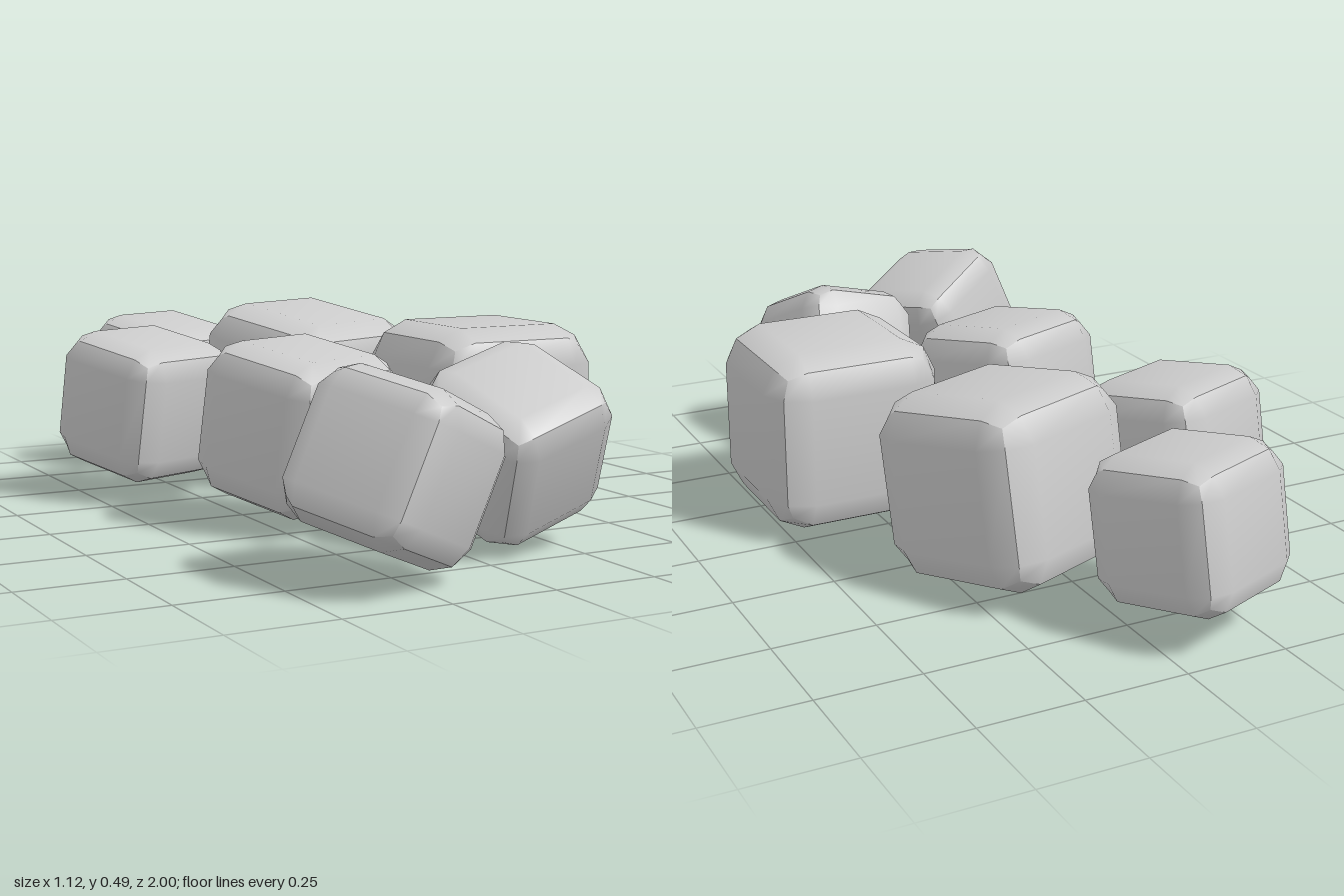
import * as THREE from 'three';

// Puffed cube of half size 1: each face is a 3x3 grid, creased along the cube edges
function puffedCube() {
  const geo = new THREE.BoxGeometry(2, 2, 2, 3, 3, 3);
  const pos = geo.attributes.position;
  const outerReach = [0, 1, 0.866, 0.78]; // face, edge and corner points
  const inner = 0.59;
  for (let i = 0; i < pos.count; i++) {
    const p = [pos.getX(i), pos.getY(i), pos.getZ(i)];
    const isOuter = (c) => Math.abs(c) > 0.9;
    const reach = outerReach[p.filter(isOuter).length];
    pos.setXYZ(i, ...p.map((c) => Math.sign(c) * (isOuter(c) ? reach : inner)));
  }
  geo.computeVertexNormals();
  return geo;
}

// Rotation from two roughly perpendicular axes
function basis(x, y) {
  const ax = new THREE.Vector3(...x).normalize();
  const az = ax.clone().cross(new THREE.Vector3(...y)).normalize();
  const ay = az.clone().cross(ax);
  return new THREE.Quaternion().setFromRotationMatrix(new THREE.Matrix4().makeBasis(ax, ay, az));
}

export function createModel() {
  const group = new THREE.Group();
  const geo = puffedCube();
  const material = new THREE.MeshStandardMaterial({ color: 0xcccccc });

  const straight = new THREE.Quaternion();
  const leaning = new THREE.Quaternion().setFromEuler(new THREE.Euler(0.16, 0.375, 0, 'YXZ'));
  const tumbledLeft = basis([0.95, 0.26, -0.17], [-0.15, 0.88, 0.45]);
  const tumbledRight = basis([0.815, -0.36, -0.454], [0.4, 0.92, 0]);

  // name, half size, centre, rotation
  const blocks = [
    ['largeStraightBlock', 0.228, [0.328, 0.249, 0.172], straight],
    ['largeLeaningBlock', 0.226, [0.114, 0.249, -0.373], leaning],
    ['middleRightBlock', 0.19, [-0.176, 0.25, 0.17], leaning],
    ['rearRightBlock', 0.176, [-0.357, 0.249, -0.371], leaning],
    ['rearmostBlock', 0.175, [-0.127, 0.249, -0.792], leaning],
    ['frontLeftBlock', 0.174, [0.136, 0.248, 0.616], tumbledLeft],
    ['frontRightBlock', 0.175, [-0.264, 0.25, 0.79], tumbledRight],
  ];
  for (const [name, half, centre, rotation] of blocks) {
    const block = new THREE.Mesh(geo, material);
    block.name = name;
    block.scale.setScalar(half);
    block.position.set(...centre);
    block.quaternion.copy(rotation);
    group.add(block);
  }
  return group;
}
